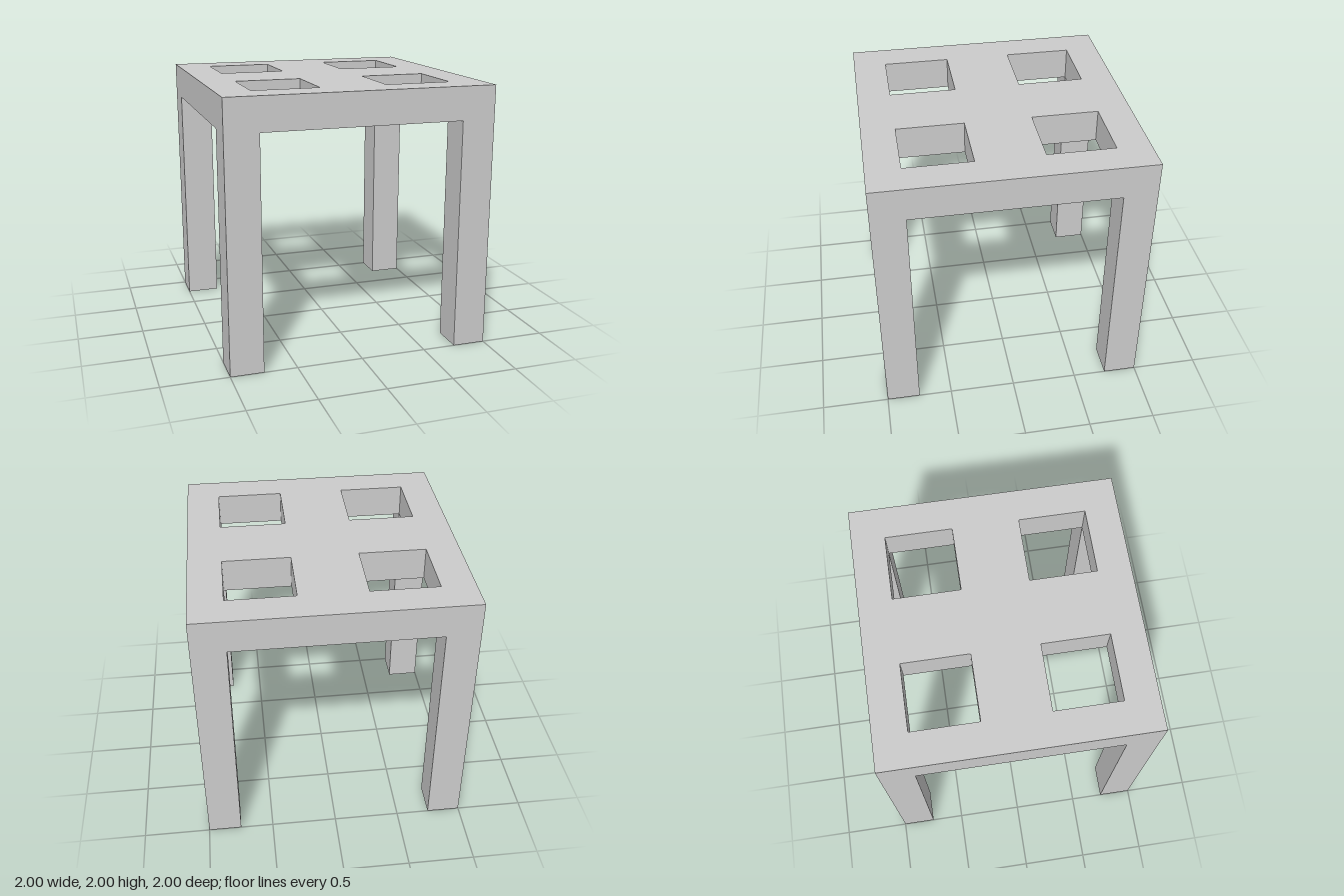
import * as THREE from 'three';

const HEIGHT = 2;
const HALF = 1;
const THICK = 0.25; // slab thickness and leg width

// Adds a square outline centred on (cx, cy) to a shape or path
function square(path, cx, cy, size) {
  const h = size / 2;
  path.moveTo(cx - h, cy - h);
  path.lineTo(cx + h, cy - h);
  path.lineTo(cx + h, cy + h);
  path.lineTo(cx - h, cy + h);
  path.closePath();
  return path;
}

export function createModel() {
  const model = new THREE.Group();
  model.name = 'table';
  const material = new THREE.MeshStandardMaterial({ color: 0xcccccc, flatShading: true });
  const corners = [[-1, -1], [1, -1], [1, 1], [-1, 1]];

  // Table top: square slab with four square openings
  const outline = square(new THREE.Shape(), 0, 0, HALF * 2);
  for (const [sx, sz] of corners) {
    outline.holes.push(square(new THREE.Path(), sx * 0.5, sz * 0.5, 0.5));
  }
  const topGeometry = new THREE.ExtrudeGeometry(outline, { depth: THICK, bevelEnabled: false });
  topGeometry.rotateX(-Math.PI / 2);
  const top = new THREE.Mesh(topGeometry, material);
  top.name = 'tableTop';
  top.position.y = HEIGHT - THICK;
  model.add(top);

  // Legs: square posts flush with the corners of the top
  const legHeight = HEIGHT - THICK;
  const legGeometry = new THREE.BoxGeometry(THICK, legHeight, THICK);
  const offset = HALF - THICK / 2;
  for (const [sx, sz] of corners) {
    const leg = new THREE.Mesh(legGeometry, material);
    leg.name = (sz > 0 ? 'front' : 'back') + (sx > 0 ? 'Left' : 'Right') + 'Leg';
    leg.position.set(sx * offset, legHeight / 2, sz * offset);
    model.add(leg);
  }

  return model;
}
